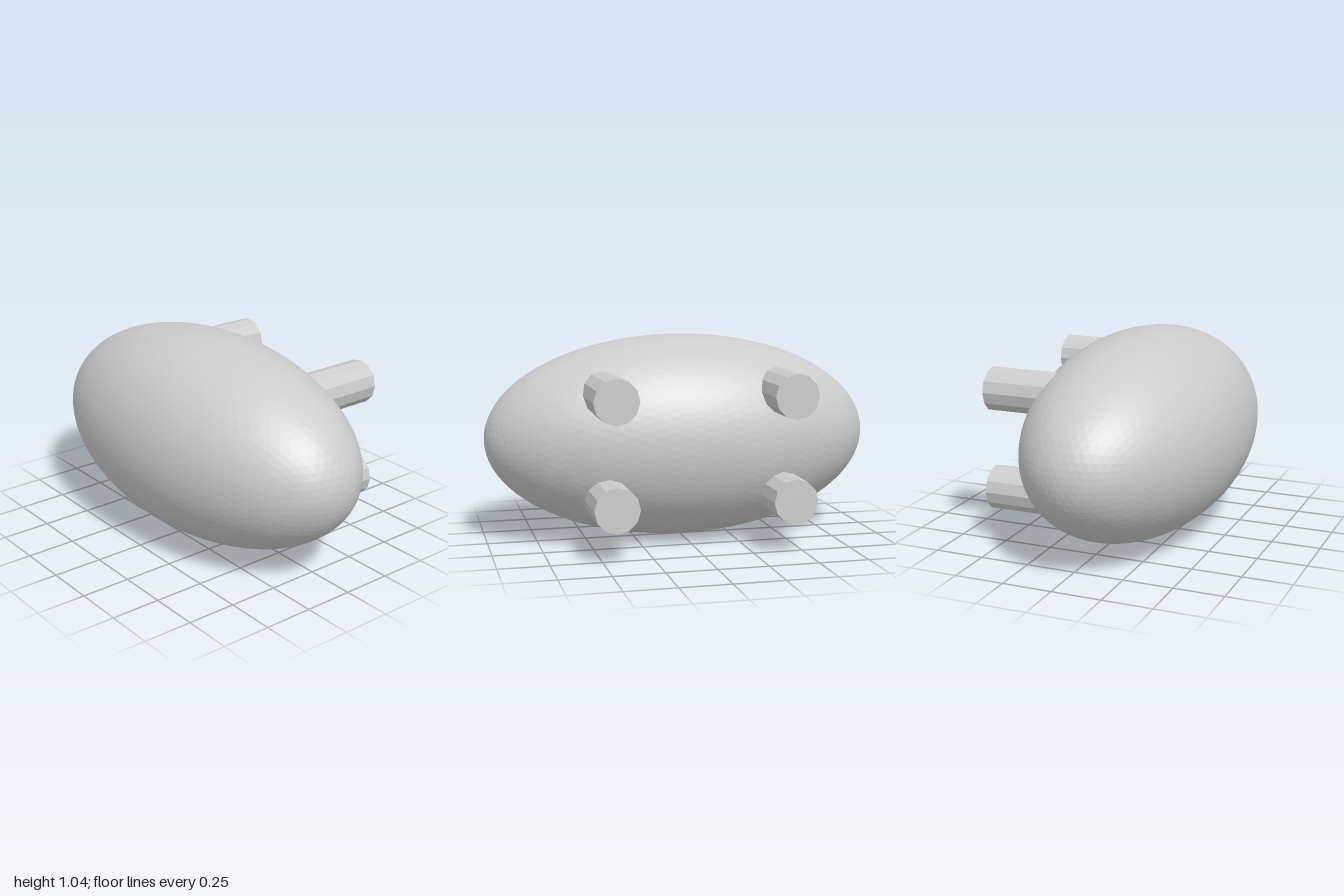
import * as THREE from 'three';

export function createModel() {
  const model = new THREE.Group();
  const grey = new THREE.MeshStandardMaterial({ color: 0xcccccc, flatShading: true });
  grey.name = 'light grey';

  // Faceted ellipsoid body
  const body = new THREE.Mesh(new THREE.IcosahedronGeometry(1, 15), grey);
  body.name = 'body';
  body.scale.set(1, 0.519, 0.519);
  body.position.set(0, 0.522, 0.06);
  model.add(body);

  // Four twelve-sided pegs pointing backwards, rooted inside the body
  const back = -0.58, root = -0.1;
  const pegGeometry = new THREE.CylinderGeometry(0.111, 0.111, root - back, 12);
  pegGeometry.rotateX(Math.PI / 2);
  for (const [side, x] of [['left', 0.44], ['right', -0.44]]) {
    for (const [level, y] of [['Upper', 0.778], ['Lower', 0.266]]) {
      const peg = new THREE.Mesh(pegGeometry, grey);
      peg.name = `${side}${level}Leg`;
      peg.position.set(x, y, (back + root) / 2);
      model.add(peg);
    }
  }
  return model;
}
